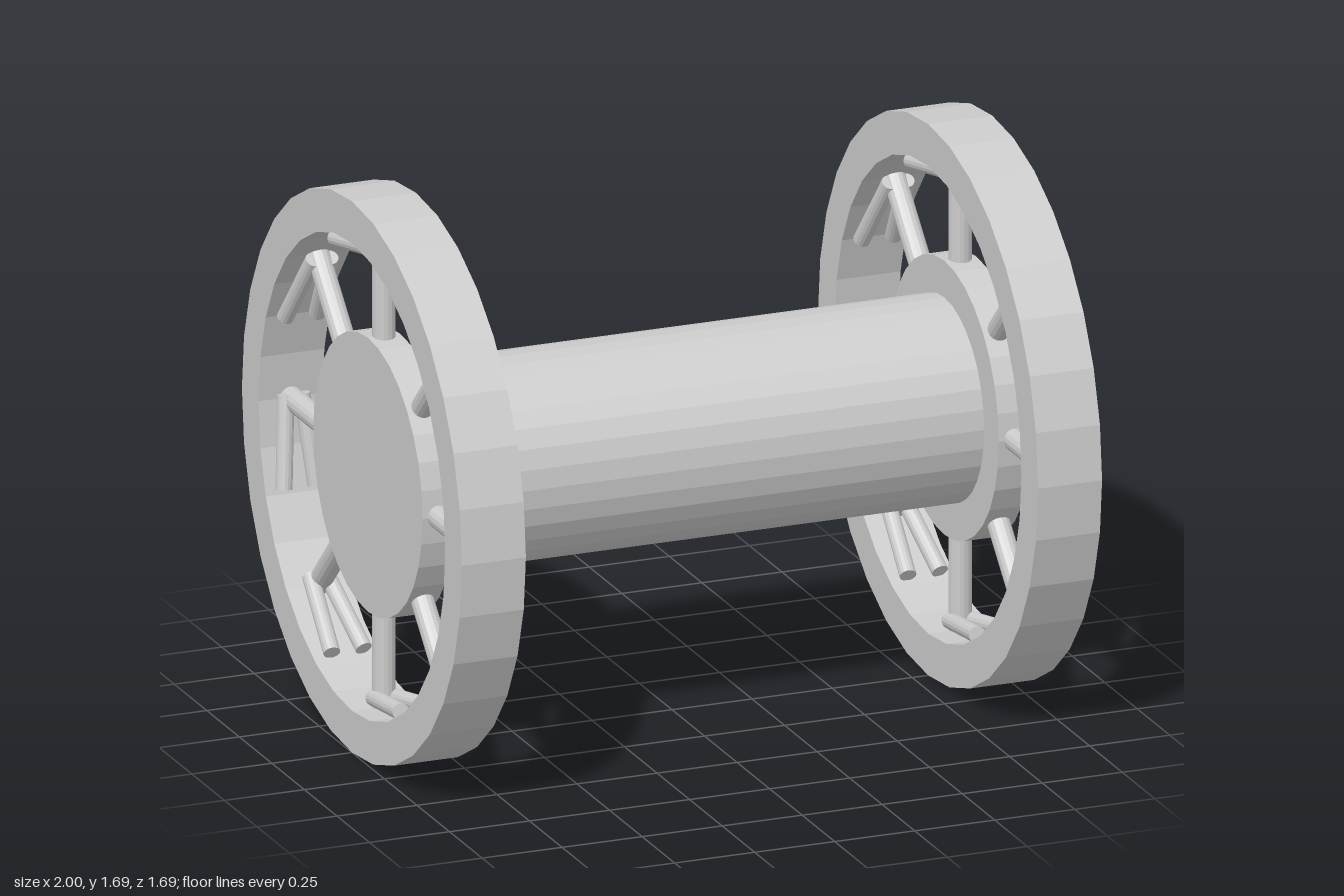
import * as THREE from 'three';

const material = new THREE.MeshStandardMaterial({ color: 0xcccccc, flatShading: true });
const RIM = 0.845, RIM_INNER = 0.717, SIDES = 32;

function addMesh(parent, name, geometry) {
  const mesh = new THREE.Mesh(geometry, material);
  mesh.name = name;
  parent.add(mesh);
  return mesh;
}

// Cylinder running between two points
function addRod(parent, name, from, to, radius) {
  const direction = to.clone().sub(from);
  const rod = addMesh(parent, name, new THREE.CylinderGeometry(radius, radius, direction.length(), 16));
  rod.position.copy(from).add(to).multiplyScalar(0.5);
  rod.quaternion.setFromUnitVectors(new THREE.Vector3(0, 1, 0), direction.normalize());
}

function createWheel(name) {
  const wheel = new THREE.Group();
  wheel.name = name;

  // Rim: rectangular section turned about the axle
  const section = [[RIM_INNER, -0.1], [RIM, -0.1], [RIM, 0.1], [RIM_INNER, 0.1], [RIM_INNER, -0.1]]
    .map(([r, h]) => new THREE.Vector2(r, h));
  addMesh(wheel, 'rim', new THREE.LatheGeometry(section, SIDES).rotateZ(Math.PI / 2));

  // Hub disc, thinner than the rim
  addMesh(wheel, 'hub', new THREE.CylinderGeometry(0.42, 0.42, 0.1, SIDES).rotateZ(Math.PI / 2));

  // Spokes, each with a pair of short rods splayed from its tip
  for (let i = 0; i < 8; i++) {
    const arm = new THREE.Group();
    arm.name = 'spokeAssembly';
    arm.rotation.x = (i * Math.PI) / 4;
    addRod(arm, 'spoke', new THREE.Vector3(0, 0.3, 0), new THREE.Vector3(0, RIM_INNER, 0), 0.034);
    for (const side of [-1, 1]) {
      addRod(arm, 'tipRod',
        new THREE.Vector3(side * 0.025, 0.692, 0.018),
        new THREE.Vector3(side * 0.05, 0.645, -0.253), 0.025);
    }
    wheel.add(arm);
  }
  return wheel;
}

export function createModel() {
  const model = new THREE.Group();
  model.name = 'wheelAndAxle';

  // Axle drum joining the two hubs
  const axle = addMesh(model, 'axle', new THREE.CylinderGeometry(0.308, 0.308, 1.72, SIDES).rotateZ(Math.PI / 2));
  axle.position.y = RIM;

  // Matching wheels at both ends
  for (const [name, x] of [['rightWheel', -0.9], ['leftWheel', 0.9]]) {
    const wheel = createWheel(name);
    wheel.position.set(x, RIM, 0);
    model.add(wheel);
  }
  return model;
}
